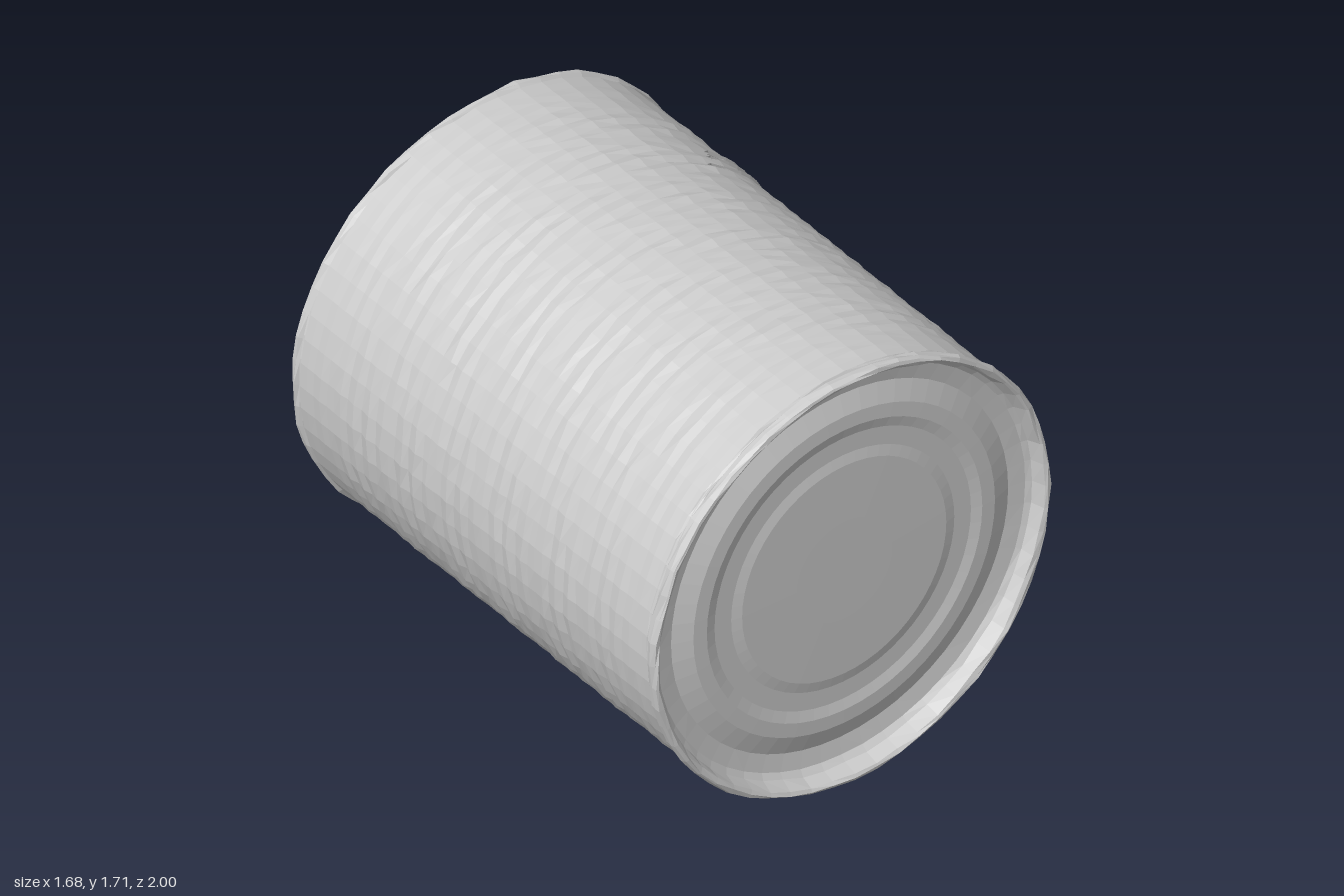
import * as THREE from 'three';

const SIDES = 56;
const grey = new THREE.MeshStandardMaterial({ color: 0xcccccc, flatShading: true, side: THREE.DoubleSide });

// Repeatable noise in -1..1
const noise = (a, b) => {
  const s = Math.sin(a * 127.1 + b * 311.7) * 43758.5453;
  return 2 * (s - Math.floor(s)) - 1;
};

// The can leans slightly: its axis is a little higher at the back
const axisHeight = z => 0.867 - 0.016 * z;

// Turns a (radius, z) profile around the z axis, then shifts each point by a rule
function turned(name, profile, rule) {
  const geo = new THREE.LatheGeometry(profile.map(p => new THREE.Vector2(...p)), SIDES);
  geo.rotateX(Math.PI / 2);
  const pos = geo.attributes.position;
  for (let i = 0; i < pos.count; i++) {
    const row = i % profile.length;
    const col = Math.floor(i / profile.length) % SIDES;
    const [r, z] = profile[row];
    const angle = (col / SIDES) * Math.PI * 2;
    const [dr, dz] = rule(r, z, angle, row, col);
    const radius = r + dr;
    pos.setXYZ(i, Math.sin(angle) * radius, axisHeight(z) - Math.cos(angle) * radius, z + dz);
  }
  geo.computeVertexNormals();
  const mesh = new THREE.Mesh(geo, grey);
  mesh.name = name;
  return mesh;
}

// A narrow raised crease lying on the +x side, through (z, y) points
function crease(name, points, thickness) {
  const curve = new THREE.CatmullRomCurve3(points.map(([z, y]) => {
    const h = y - axisHeight(z);
    return new THREE.Vector3(Math.sqrt(0.826 ** 2 - h * h), y, z);
  }));
  const mesh = new THREE.Mesh(new THREE.TubeGeometry(curve, points.length * 3, thickness, 4), grey);
  mesh.name = name;
  return mesh;
}

export function createModel() {
  const can = new THREE.Group();
  can.name = 'can';

  // Side wall with faint, broken ribs around the middle
  const wall = [];
  for (let i = 0; i <= 52; i++) wall.push([0.825, -0.955 + (i / 52) * 1.885]);
  can.add(turned('sideWall', wall, (r, z, a, row, col) => {
    const fade = Math.max(0, 1 - Math.abs(z / 0.93) ** 6);
    const rib = 0.004 * Math.sin(z * 75 + 1.5 * Math.sin(a * 3));
    // Small crumpled patch on the +x side
    const y = axisHeight(z) - Math.cos(a) * r;
    const dent = Math.sin(a) > 0 && Math.hypot((z - 0.32) / 0.13, (y - 0.95) / 0.25) < 1 ? 0.012 : 0.002;
    return [fade * (rib + dent * noise(row, col)), fade * 0.008 * noise(col, row + 9)];
  }));

  // Rolled rims and stepped lids; the rims bow out at top and bottom
  const edgeRule = (r, z, a, row, col) => {
    const rim = THREE.MathUtils.smoothstep(r, 0.76, 0.82);
    return [0.005 * rim * noise(row, col), rim * (0.009 * Math.cos(2 * a) + 0.004 * noise(col, row))];
  };
  can.add(turned('frontEnd', [
    [0.825, 0.925], [0.82, 0.935], [0.834, 0.945], [0.838, 0.965], [0.833, 0.983], [0.822, 0.987],
    [0.81, 0.978], [0.795, 0.93], [0.775, 0.915], [0.71, 0.905], [0.635, 0.93], [0.58, 0.932],
    [0.54, 0.922], [0.47, 0.922], [0.43, 0.93], [0.2, 0.932], [0, 0.932],
  ], edgeRule));
  can.add(turned('backEnd', [
    [0, -0.925], [0.2, -0.925], [0.44, -0.925], [0.48, -0.91], [0.53, -0.91], [0.57, -0.928],
    [0.62, -0.928], [0.66, -0.91], [0.71, -0.908], [0.745, -0.925], [0.785, -0.925], [0.8, -0.94],
    [0.81, -0.977], [0.82, -0.987], [0.831, -0.982], [0.835, -0.965], [0.825, -0.95],
  ], edgeRule));

  // Slanting creases towards the back
  [
    [[-0.345, 1.58], [-0.41, 1.38], [-0.49, 1.14], [-0.59, 0.92]],
    [[-0.41, 1.55], [-0.46, 1.38], [-0.54, 1.14], [-0.62, 0.92]],
    [[-0.46, 1.53], [-0.5, 1.38], [-0.57, 1.14], [-0.65, 0.89]],
  ].forEach((p, i) => can.add(crease('slantCrease' + (i + 1), p, 0.01)));

  // Short dents in the crumpled patch
  [
    [[0.42, 1.22], [0.38, 1.18], [0.35, 1.13]],
    [[0.4, 1.08], [0.41, 0.97], [0.39, 0.88]],
    [[0.33, 1.1], [0.28, 1.04], [0.24, 1.01]],
    [[0.34, 0.94], [0.29, 0.89], [0.25, 0.79]],
    [[0.4, 0.79], [0.35, 0.75], [0.31, 0.78]],
  ].forEach((p, i) => can.add(crease('dentCrease' + (i + 1), p, 0.007)));

  return can;
}
